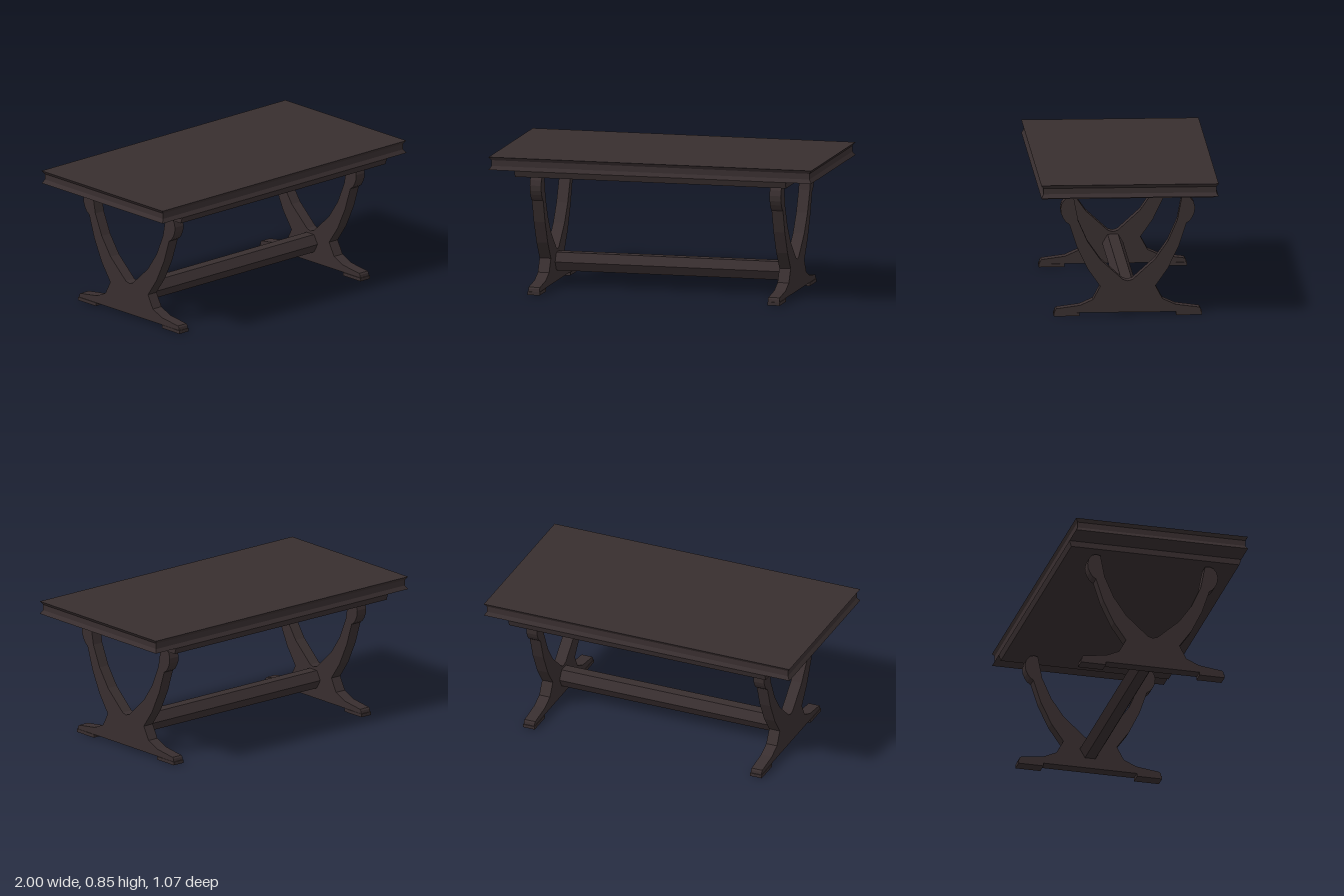
import * as THREE from 'three';

// Stacks rectangular cross-sections [halfX, halfZ, y], bottom to top, into a closed solid
function loftRects(sections) {
  const rings = sections.map(([x, z, y]) =>
    [[x, y, z], [x, y, -z], [-x, y, -z], [-x, y, z]]);
  const pos = [];
  const quad = (a, b, c, d) => pos.push(...a, ...b, ...c, ...a, ...c, ...d);
  for (let i = 0; i < rings.length - 1; i++) {
    const lo = rings[i], hi = rings[i + 1];
    for (let k = 0; k < 4; k++) {
      const n = (k + 1) % 4;
      quad(lo[k], lo[n], hi[n], hi[k]);
    }
  }
  quad(...rings[rings.length - 1]);
  quad(...[...rings[0]].reverse());
  const geo = new THREE.BufferGeometry();
  geo.setAttribute('position', new THREE.Float32BufferAttribute(pos, 3));
  geo.computeVertexNormals();
  return geo;
}

// Half outline of a trestle: [distance from centre, height]
const trestleHalf = [
  [0.029, 0.22], [0.163, 0.341], [0.241, 0.453], [0.298, 0.582], [0.324, 0.719],
  [0.35, 0.725], [0.375, 0.717], [0.396, 0.692], [0.404, 0.66], [0.401, 0.628],
  [0.39, 0.602], [0.374, 0.577], [0.352, 0.562], [0.307, 0.424], [0.241, 0.287],
  [0.166, 0.18], [0.209, 0.1], [0.287, 0.065], [0.43, 0.046], [0.438, 0.037], [0.441, 0.02],
];

export function createModel() {
  const model = new THREE.Group();
  model.name = 'trestleTable';
  const wood = new THREE.MeshStandardMaterial({ color: 0x382e2f, flatShading: true });
  wood.name = 'darkWood';

  const add = (name, geo, parent = model) => {
    const mesh = new THREE.Mesh(geo, wood);
    mesh.name = name;
    parent.add(mesh);
    return mesh;
  };

  // Top with a hollow moulded edge
  add('tableTop', loftRects([
    [1, 0.533, 0.767], [0.985, 0.52, 0.79], [0.985, 0.52, 0.825], [1, 0.533, 0.845],
  ]));
  // Apron slab, set in at the ends and sloping along the long sides
  add('apron', loftRects([[0.84, 0.521, 0.73], [0.84, 0.533, 0.767]]));

  // Curved trestles with foot pads
  const outline = [
    [0, 0.212], ...trestleHalf,
    ...trestleHalf.map(([z, y]) => [-z, y]).reverse(),
  ].map(([z, y]) => new THREE.Vector2(z, y));
  const trestleGeo = new THREE.ExtrudeGeometry(new THREE.Shape(outline), {
    depth: 0.07, bevelEnabled: false,
  });
  trestleGeo.translate(0, 0, -0.035).rotateY(Math.PI / 2);
  const padGeo = new THREE.BoxGeometry(0.076, 0.02, 0.155);
  for (const side of [1, -1]) {
    const trestle = new THREE.Group();
    trestle.name = side > 0 ? 'leftTrestle' : 'rightTrestle';
    trestle.position.x = side * 0.743;
    add('trestleFrame', trestleGeo, trestle);
    for (const end of [1, -1]) {
      add(end > 0 ? 'frontFootPad' : 'backFootPad', padGeo, trestle)
        .position.set(0, 0.01, end * 0.368);
    }
    model.add(trestle);
  }

  // Six-sided stretcher joining the trestles
  const stretcher = new THREE.CylinderGeometry(0.064, 0.064, 1.44, 6);
  stretcher.rotateZ(Math.PI / 2);
  add('stretcher', stretcher).position.y = 0.141;

  return model;
}
